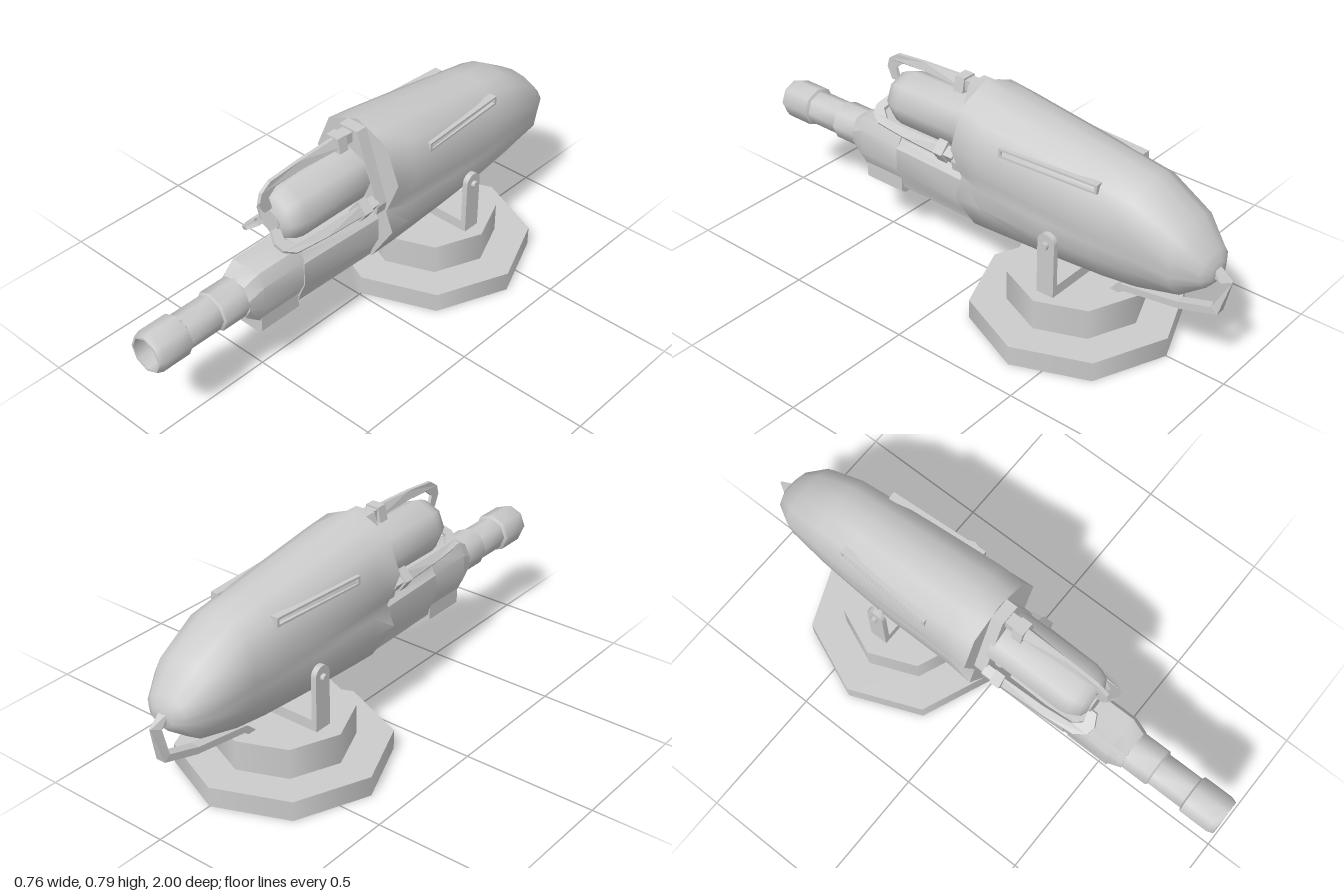
import * as THREE from 'three';
import { toCreasedNormals } from 'three/addons/utils/BufferGeometryUtils.js';

const CX = 0.008; // the gun sits a hair off the base axis
const mat = new THREE.MeshStandardMaterial({ color: 0xcccccc, side: THREE.DoubleSide });

function add(parent, name, geo, x = 0, y = 0, z = 0) {
  const mesh = new THREE.Mesh(geo, mat);
  mesh.name = name;
  mesh.position.set(x, y, z);
  parent.add(mesh);
  return mesh;
}

// Mirror a half outline (top to bottom, x >= 0) into a loop, counterclockwise from the front
function ring(z, half) {
  const left = half.map(([x, y]) => [-x, y, z]);
  const right = half.slice(1, -1).reverse().map(([x, y]) => [x, y, z]);
  return left.concat(right);
}

// Skin over rings ordered front to back, with both ends closed
function loft(rings, crease) {
  const n = rings[0].length, pos = rings.flat(2), idx = [];
  for (let i = 0; i < rings.length - 1; i++) {
    for (let j = 0; j < n; j++) {
      const k = (j + 1) % n, a = i * n + j, b = i * n + k;
      idx.push(a, a + n, b, b, a + n, b + n);
    }
  }
  [0, rings.length - 1].forEach((r) => {
    const c = pos.length / 3, ys = rings[r].map((p) => p[1]);
    pos.push(0, (Math.min(...ys) + Math.max(...ys)) / 2, rings[r][0][2]);
    for (let j = 0; j < n; j++) {
      const a = r * n + j, b = r * n + (j + 1) % n;
      if (r === 0) idx.push(c, a, b); else idx.push(c, b, a);
    }
  });
  const g = new THREE.BufferGeometry();
  g.setAttribute('position', new THREE.Float32BufferAttribute(pos, 3));
  g.setIndex(idx);
  return toCreasedNormals(g, crease);
}

// Turned part along z from [radius, z] pairs
function turned(profile, sides, crease) {
  const g = new THREE.LatheGeometry(profile.map(([r, z]) => new THREE.Vector2(r, z)), sides);
  return toCreasedNormals(g.rotateX(Math.PI / 2), crease);
}

const points2 = (list) => list.map(([x, y]) => new THREE.Vector2(x, y));

function extrude(shape, depth) {
  return new THREE.ExtrudeGeometry(shape, { depth, bevelEnabled: false, curveSegments: 8 });
}

// Side outline of [z, y] points; widthAt(z, y) gives the width in x
function sidePlate(points, widthAt) {
  const g = extrude(new THREE.Shape(points2(points)), 1).rotateY(-Math.PI / 2).translate(0.5, 0, 0);
  const p = g.attributes.position;
  for (let i = 0; i < p.count; i++) p.setX(i, Math.sign(p.getX(i)) * widthAt(p.getZ(i), p.getY(i)) / 2);
  g.computeVertexNormals();
  return g;
}

export function createModel() {
  const model = new THREE.Group();
  model.name = 'mountedGun';

  // Octagonal two-step base, hollow under the lower step
  const base = new THREE.Group();
  base.name = 'base';
  base.position.z = -0.39;
  model.add(base);
  add(base, 'baseLower', new THREE.CylinderGeometry(0.381, 0.381, 0.075, 8, 1, true), 0, 0.0375);
  add(base, 'baseDeck', new THREE.RingGeometry(0.25, 0.381, 8).rotateX(-Math.PI / 2), 0, 0.075);
  add(base, 'baseUpper', new THREE.CylinderGeometry(0.25, 0.25, 0.115, 8), 0, 0.1325);

  const gun = new THREE.Group();
  gun.name = 'gun';
  gun.position.x = CX;
  model.add(gun);

  // U-shaped yoke with round-topped arms and pivot pins
  add(gun, 'yokeBridge', new THREE.BoxGeometry(0.374, 0.04, 0.07), 0, 0.21, -0.395);
  for (const s of [-1, 1]) {
    const arm = new THREE.Shape();
    arm.moveTo(-0.035, 0.19);
    arm.lineTo(0.035, 0.19);
    arm.lineTo(0.035, 0.397);
    arm.absarc(0, 0.397, 0.035, 0, Math.PI, false);
    const g = extrude(arm, 0.021).rotateY(-Math.PI / 2).translate(0.0105, 0, 0);
    add(gun, 'yokeArm', toCreasedNormals(g, 0.6), s * 0.177, 0, -0.395);
    add(gun, 'pivotPin', new THREE.CylinderGeometry(0.014, 0.014, 0.06, 8).rotateZ(Math.PI / 2), s * 0.172, 0.39, -0.395);
  }

  // Hull: pinched waist that fades towards a rounded tail
  const outline = [[0, 1], [0.42, 0.94], [0.78, 0.78], [1, 0.34], [0.96, 0], [0.94, -0.15], [0.9, -0.42], [0.42, -0.9], [0, -1]];
  const section = (z, top, bottom, w, waist) => ring(z, outline.map(([x, y]) => [
    y < 0.1 ? Math.min(x * w, waist) : x * w, (top + bottom) / 2 + y * (top - bottom) / 2,
  ]));
  const mouth = [[0, 0.79], [0.07, 0.762], [0.133, 0.735], [0.189, 0.6], [0.145, 0.49], [0.135, 0.465], [0.165, 0.39], [0.07, 0.24], [0, 0.22]];
  add(gun, 'hull', loft([
    ring(0.02, mouth),
    section(-0.08, 0.775, 0.223, 0.184, 0.156),
    section(-0.35, 0.737, 0.235, 0.172, 0.156),
    section(-0.55, 0.708, 0.248, 0.16, 0.154),
    section(-0.68, 0.688, 0.265, 0.152, 0.15),
    section(-0.84, 0.593, 0.31, 0.132, 0.13),
    section(-0.925, 0.5, 0.375, 0.082, 0.08),
    section(-0.945, 0.465, 0.4, 0.045, 0.045),
  ], 0.95));

  // Slim vent frames following the taper of the hull sides
  for (const s of [-1, 1]) {
    const frame = new THREE.Shape(points2([[-0.195, -0.017], [0.195, -0.017], [0.195, 0.017], [-0.195, 0.017]]));
    frame.holes.push(new THREE.Path(points2([[-0.185, -0.009], [-0.185, 0.009], [0.185, 0.009], [0.185, -0.009]])));
    const vent = add(gun, 'sideVent', extrude(frame, 0.03).translate(0, 0, -0.015), s * 0.14, 0.65, -0.365);
    vent.rotation.y = s * (Math.PI / 2 + 0.06);
  }

  // Triangular mounting plate on the hull mouth
  const plate = new THREE.Shape(points2([[-0.04, 0.775], [-0.137, 0.51], [-0.13, 0.475], [0.13, 0.475], [0.137, 0.51], [0.04, 0.775]]));
  add(gun, 'mountPlate', extrude(plate, 0.045), 0, 0, 0.02);

  // Upper canister with a domed nose and flat end cap
  add(gun, 'canister', turned([[0.105, 0.05], [0.105, 0.36], [0.098, 0.39], [0.082, 0.42], [0.047, 0.437], [0, 0.437]], 8, 0.9), -0.003, 0.597, 0);
  add(gun, 'canisterCap', turned([[0.045, 0.42], [0.045, 0.443], [0, 0.443]], 8, 0.9), -0.003, 0.597, 0);

  // Three clamps with hooked prongs around the canister: [angle, radial shift]
  for (const [angle, shift] of [[0, 0], [2.17, -0.01], [-2.17, -0.01]]) {
    const prong = new THREE.Group();
    prong.name = 'prong';
    prong.position.set(-0.003, 0.597, 0);
    prong.rotation.z = angle;
    gun.add(prong);
    add(prong, 'clampFoot', new THREE.BoxGeometry(0.045, 0.04, 0.05), 0, 0.15 + shift, 0.085);
    const collar = new THREE.BoxGeometry(0.075, 0.055, 0.04);
    const p = collar.attributes.position;
    for (let v = 0; v < p.count; v++) if (p.getY(v) > 0) p.setX(v, p.getX(v) * 0.7);
    collar.computeVertexNormals();
    add(prong, 'clampCollar', collar, 0, 0.15 + shift, 0.12);
    // wedge-shaped arm: broad inner edge at the clamp, thinning forwards
    const width = (z, y) => 0.013 + (y < 0.145 ? Math.max(0, 0.41 - z) * 0.13 : 0);
    add(prong, 'prongArm', sidePlate([
      [0.1, 0.135], [0.3, 0.134], [0.41, 0.124], [0.445, 0.095], [0.43, 0.045], [0.465, 0.045],
      [0.485, 0.09], [0.475, 0.125], [0.435, 0.153], [0.3, 0.165], [0.1, 0.173],
    ], width), 0, shift, 0);
  }

  // Lower housing leading out of the hull
  const housing = [[0, 0.485], [0.057, 0.485], [0.064, 0.45], [0.088, 0.42], [0.088, 0.33], [0.062, 0.27], [0.055, 0.243], [0, 0.24]];
  add(gun, 'barrelHousing', loft([
    ring(0.375, housing),
    ring(0.02, housing.map(([x, y]) => [x * 1.15, y])),
  ], 0.5));

  // Receiver narrowing to the octagonal barrel
  const receiver = [[0, 0.472], [0.06, 0.472], [0.084, 0.425], [0.084, 0.33], [0.055, 0.27], [0, 0.26]];
  const throat = [[0, 0.448], [0.048, 0.44], [0.072, 0.395], [0.072, 0.355], [0.048, 0.312], [0, 0.303]];
  add(gun, 'receiver', loft([ring(0.615, throat), ring(0.56, receiver), ring(0.37, receiver)], 0.5));

  // Block slung under the receiver
  add(gun, 'underBlock', loft([0.555, 0.38].map((z) => ring(z, [[0, 0.31], [0.06, 0.31], [0.06, 0.222], [0.042, 0.21], [0, 0.21]])), 0.4));

  // Barrel, neck and hollow muzzle
  add(gun, 'barrel', turned([[0.074, 0.56], [0.074, 0.718], [0.065, 0.724], [0.065, 0.87]], 8, 0.85), 0, 0.378, 0);
  add(gun, 'muzzle', turned([
    [0.062, 0.858], [0.076, 0.866], [0.076, 0.978], [0.068, 1], [0.06, 1], [0.056, 0.9], [0, 0.9],
  ], 8, 0.85), 0, 0.378, 0);

  // Bent conduit from the tail down to the base, with a sharp outer corner
  add(gun, 'tailConduit', sidePlate([
    [-0.93, 0.42], [-0.93, 0.455], [-1, 0.418], [-0.965, 0.283], [-0.82, 0.238], [-0.6, 0.205], [-0.575, 0.187],
    [-0.54, 0.187], [-0.585, 0.228], [-0.81, 0.262], [-0.94, 0.302], [-0.967, 0.408],
  ], (z) => (z < -0.98 ? 0.006 : 0.036)), 0, 0, 0);

  return model;
}
